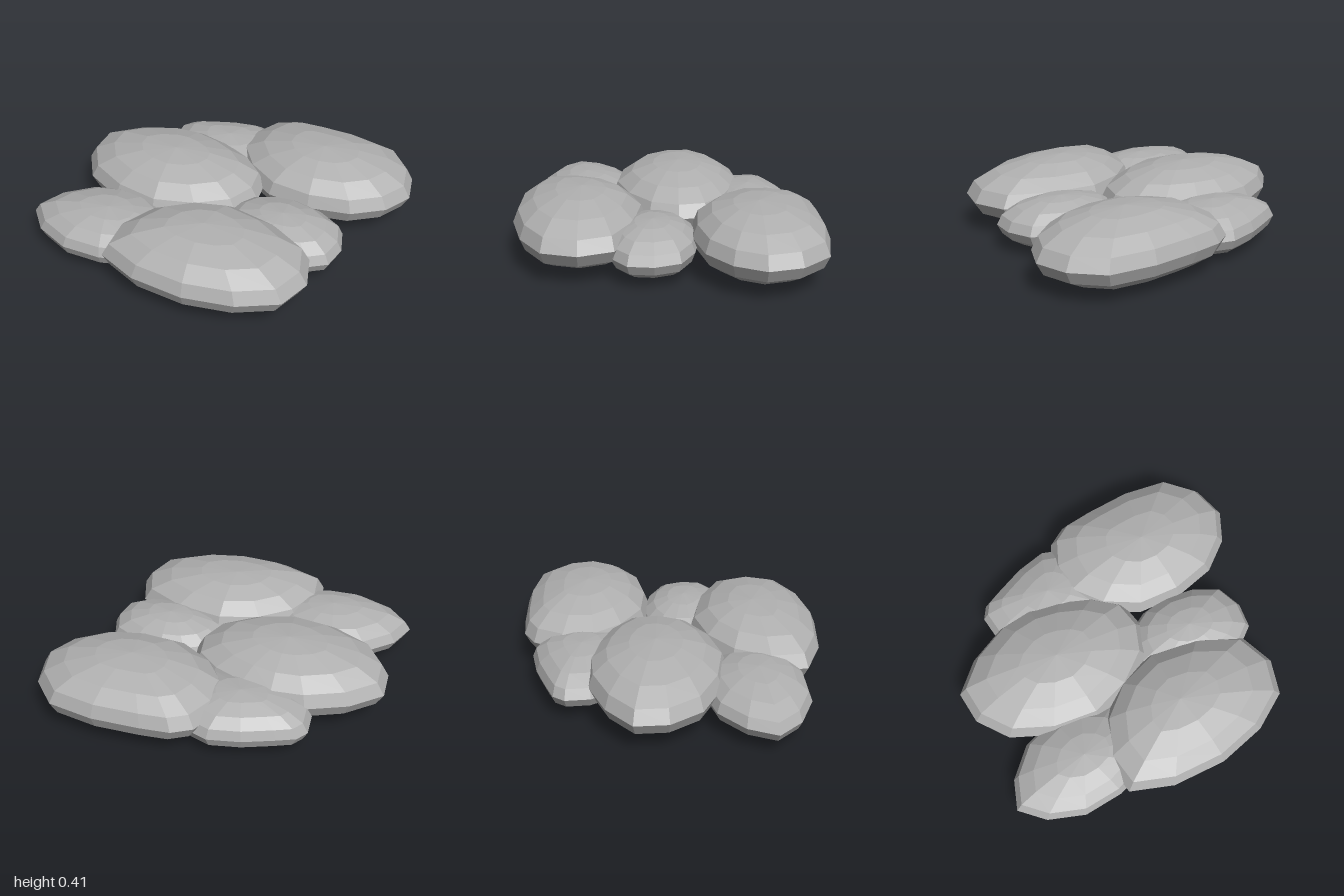
import * as THREE from 'three';

const LARGE = 0.203; // half heights
const SMALL = 0.15;

// A closed smooth curve through a few [x, z] points, running from the left
// round the front, right and back; every span gives two sides of the stone.
function outlineOf(points) {
  const corners = points.map(([x, z]) => new THREE.Vector3(x, 0, z));
  return new THREE.CatmullRomCurve3(corners, true, 'catmullrom', 0.5).getPoints(points.length * 2);
}

// A faceted ball whose meridians reach out to the outline
function makeStone(name, material, half, [cx, cz], points) {
  const rings = 8;
  const outline = outlineOf(points);
  const geometry = new THREE.SphereGeometry(1, outline.length - 1, rings);
  const position = geometry.attributes.position;
  for (let i = 0; i < position.count; i++) {
    const edge = outline[i % outline.length];
    const latitude = (Math.floor(i / outline.length) / rings) * Math.PI;
    const reach = Math.sin(latitude);
    position.setXYZ(i,
      cx + (edge.x - cx) * reach,
      half * (1 + Math.cos(latitude)),
      cz + (edge.z - cz) * reach);
  }
  const faceted = geometry.toNonIndexed();
  faceted.computeVertexNormals();
  const mesh = new THREE.Mesh(faceted, material);
  mesh.name = name;
  return mesh;
}

export function createModel() {
  const group = new THREE.Group();
  group.name = 'stonePile';
  const grey = new THREE.MeshStandardMaterial({ color: 0xb0b0b0, flatShading: true });
  grey.name = 'stone grey';

  // Three large stones
  group.add(makeStone('backRightStone', grey, LARGE, [0.42, -0.52],
    [[-0.07, -0.82], [-0.14, -0.45], [0.22, -0.15], [0.74, -0.2], [1, -0.52], [0.79, -0.88], [0.22, -0.91]]));
  group.add(makeStone('leftStone', grey, LARGE, [-0.39, -0.07],
    [[-1, -0.18], [-0.85, 0.2], [-0.32, 0.345], [0.12, 0.11], [0.15, -0.24], [-0.2, -0.44], [-0.6, -0.45]]));
  group.add(makeStone('frontStone', grey, LARGE, [0.13, 0.51],
    [[-0.37, 0.82], [0.21, 0.92], [0.72, 0.71], [0.7, 0.3], [0.13, 0.13], [-0.31, 0.38]]));

  // Three small stones tucked between them
  group.add(makeStone('backLeftStone', grey, SMALL, [-0.24, -0.51],
    [[-0.66, -0.58], [-0.55, -0.29], [-0.1, -0.22], [0.14, -0.4], [0.1, -0.68], [-0.14, -0.82], [-0.51, -0.7]]));
  group.add(makeStone('rightStone', grey, SMALL, [0.43, 0.09],
    [[0.05, 0.15], [0.28, 0.34], [0.55, 0.35], [0.79, 0.23], [0.75, -0.07], [0.4, -0.18], [0.12, -0.08]]));
  group.add(makeStone('frontLeftStone', grey, SMALL, [-0.51, 0.52],
    [[-1, 0.605], [-0.65, 0.815], [-0.2, 0.72], [-0.1, 0.43], [-0.38, 0.21], [-0.78, 0.275]]));
  return group;
}
